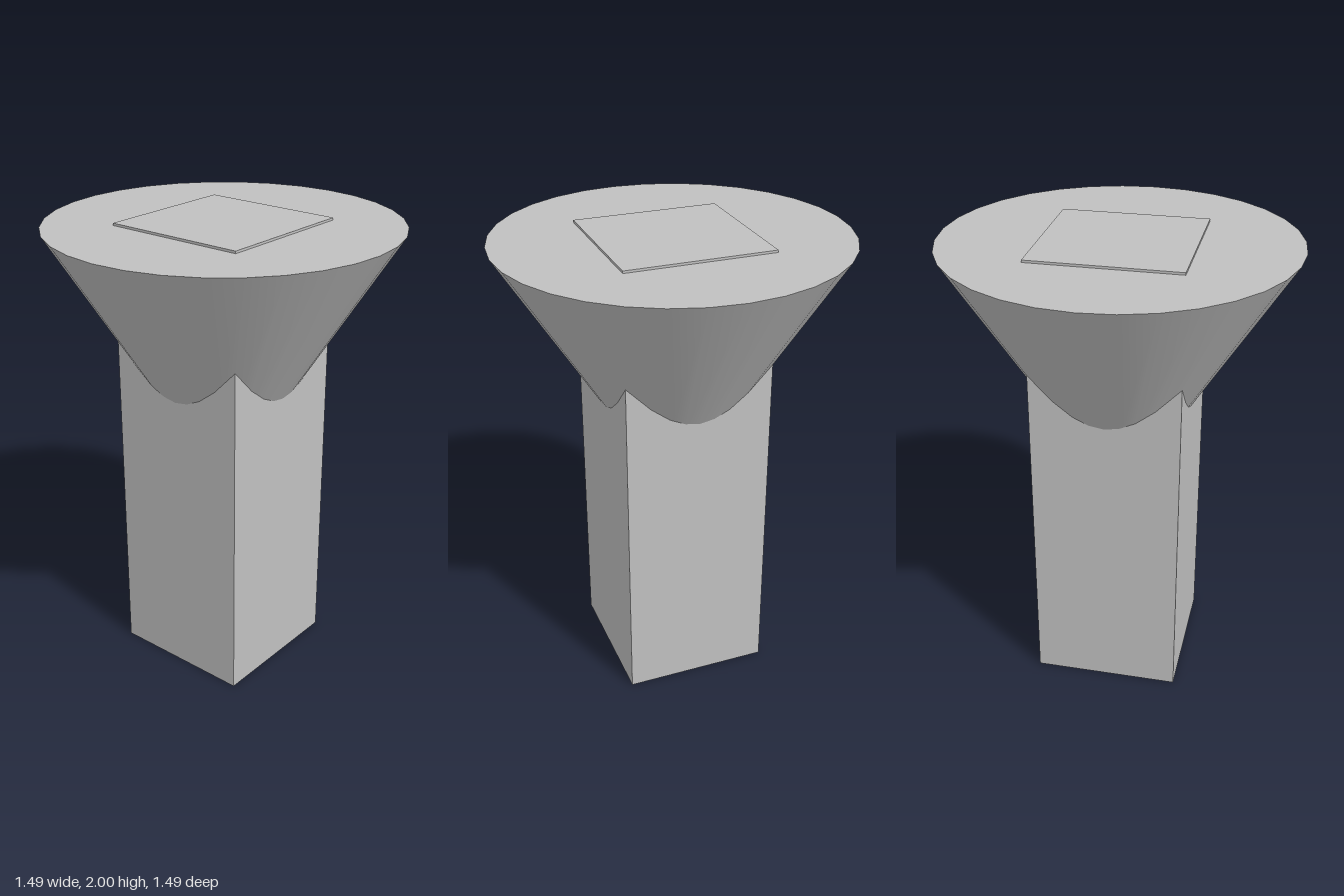
import * as THREE from 'three';

export function createModel() {
  const group = new THREE.Group();
  const grey = new THREE.MeshStandardMaterial({ color: 0xc0c0c0 });
  grey.name = 'plain grey';

  const addPart = (name, geometry, y) => {
    const mesh = new THREE.Mesh(geometry, grey);
    mesh.name = name;
    mesh.position.y = y;
    group.add(mesh);
  };

  // Square shaft, rising just through the top of the head
  const width = 0.635, height = 2;
  addPart('squareShaft', new THREE.BoxGeometry(width, height, width), height / 2);

  // Flared conical head, its narrow end hidden inside the shaft
  const rimY = 1.99, rimRadius = 0.745, slope = 0.619, baseY = 1.25;
  const headHeight = rimY - baseY;
  addPart(
    'conicalHead',
    new THREE.CylinderGeometry(rimRadius, rimRadius - slope * headHeight, headHeight, 32),
    baseY + headHeight / 2
  );

  return group;
}
